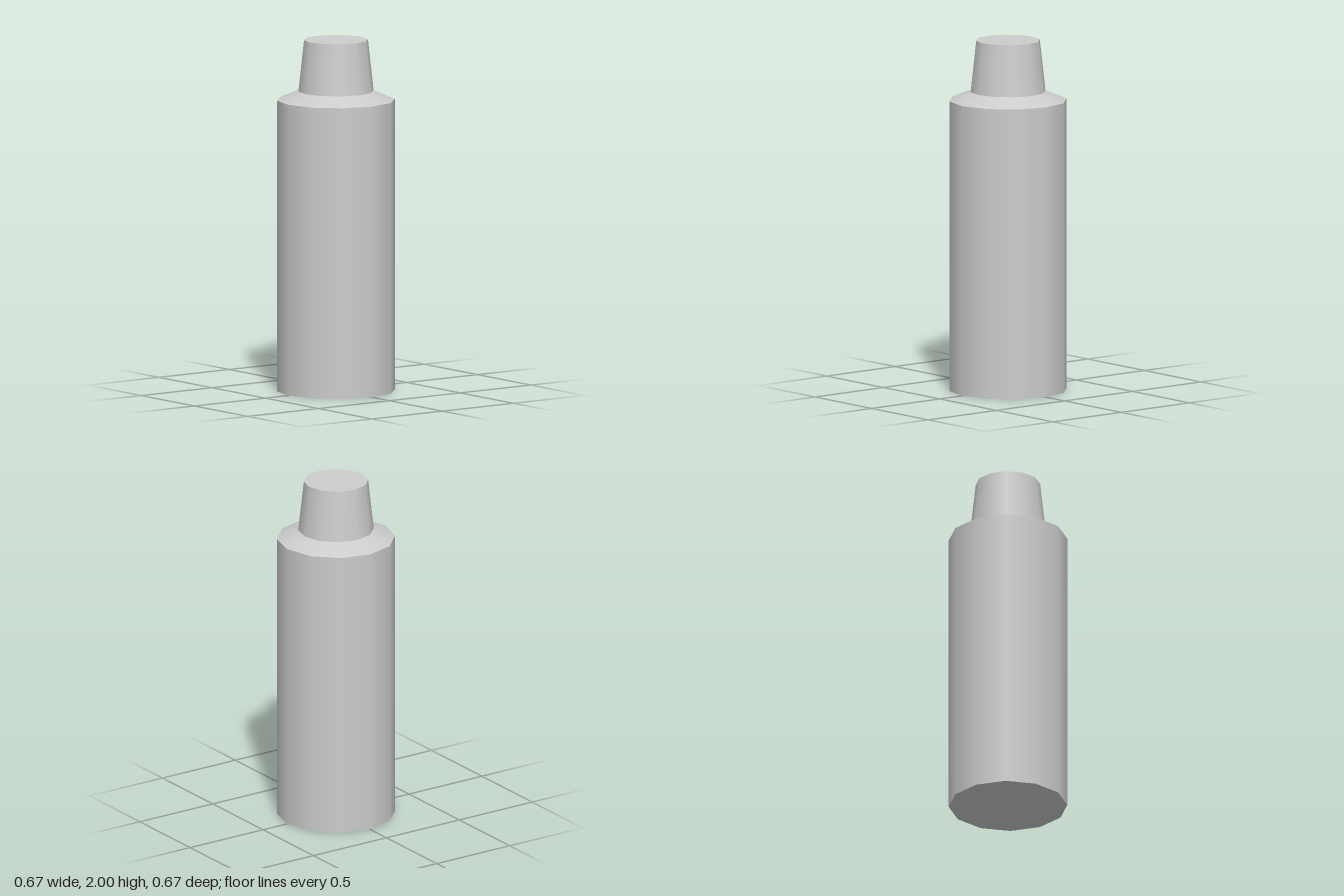
import * as THREE from 'three';

const SIDES = 12;

export function createModel() {
  const group = new THREE.Group();
  group.name = 'bottle';
  const grey = new THREE.MeshStandardMaterial({ name: 'light grey', color: 0xcccccc });

  // A 12-sided section between two heights, smooth around its side
  function section(name, bottomRadius, topRadius, y0, y1, open) {
    const geometry = new THREE.CylinderGeometry(topRadius, bottomRadius, y1 - y0, SIDES, 1, open);
    geometry.translate(0, (y0 + y1) / 2, 0);
    const mesh = new THREE.Mesh(geometry, grey);
    mesh.name = name;
    group.add(mesh);
  }

  // Straight body wall
  section('body', 0.335, 0.335, 0, 1.658, true);

  // Flat base, facing down
  const baseGeometry = new THREE.CircleGeometry(0.335, SIDES);
  baseGeometry.rotateX(Math.PI / 2);
  const base = new THREE.Mesh(baseGeometry, grey);
  base.name = 'base';
  group.add(base);

  // Sloping shoulder up to the cap
  section('shoulder', 0.335, 0.214, 1.658, 1.708, true);

  // Tapered cap wall
  section('cap', 0.214, 0.182, 1.708, 2, true);

  // Flat top of the cap
  const topGeometry = new THREE.CircleGeometry(0.182, SIDES);
  topGeometry.rotateX(-Math.PI / 2);
  const top = new THREE.Mesh(topGeometry, grey);
  top.name = 'capTop';
  top.position.y = 2;
  group.add(top);

  return group;
}
